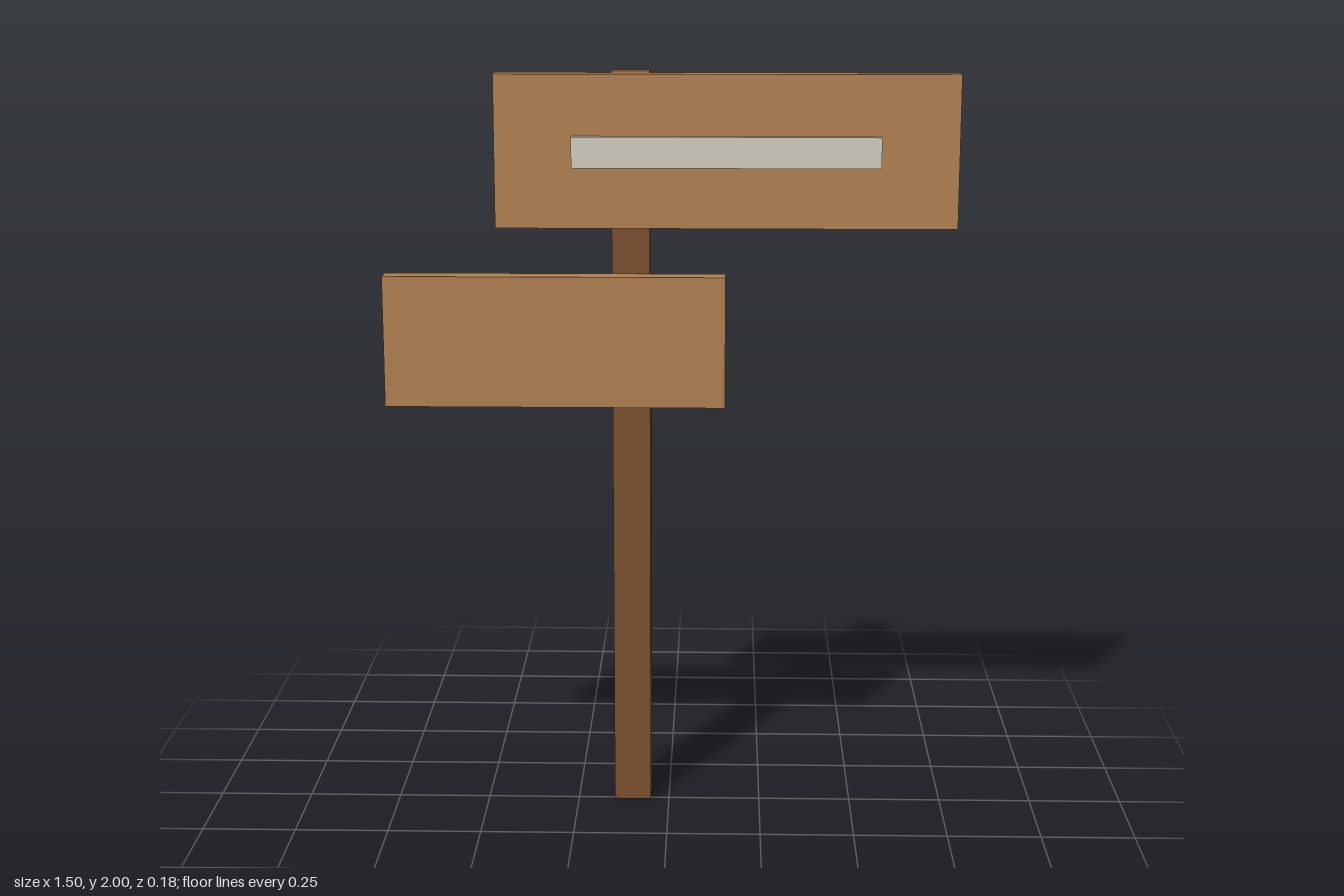
import * as THREE from 'three';

// Box given by its min and max on each axis
function slab(name, color, [x0, x1], [y0, y1], [z0, z1]) {
  const mesh = new THREE.Mesh(
    new THREE.BoxGeometry(x1 - x0, y1 - y0, z1 - z0),
    new THREE.MeshStandardMaterial({ color })
  );
  mesh.position.set((x0 + x1) / 2, (y0 + y1) / 2, (z0 + z1) / 2);
  mesh.name = name;
  return mesh;
}

export function createModel() {
  const group = new THREE.Group();
  group.name = 'signpost';

  const darkWood = 0x7a4f2d, lightWood = 0xb08050, pale = 0xd0ccc0;
  const boardDepth = [0.01, 0.07];

  group.add(
    // Upright post, behind the boards
    slab('post', darkWood, [-0.15, -0.05], [0, 2], [-0.09, 0.01]),
    // Two boards fixed to the front of the post
    slab('upperBoard', lightWood, [-0.45, 0.748], [1.604, 2], boardDepth),
    slab('lowerBoard', lightWood, [-0.75, 0.149], [1.128, 1.476], boardDepth),
    // Raised strip on the upper board
    slab('strip', pale, [-0.25, 0.547], [1.762, 1.842], [0.07, 0.09])
  );
  return group;
}
